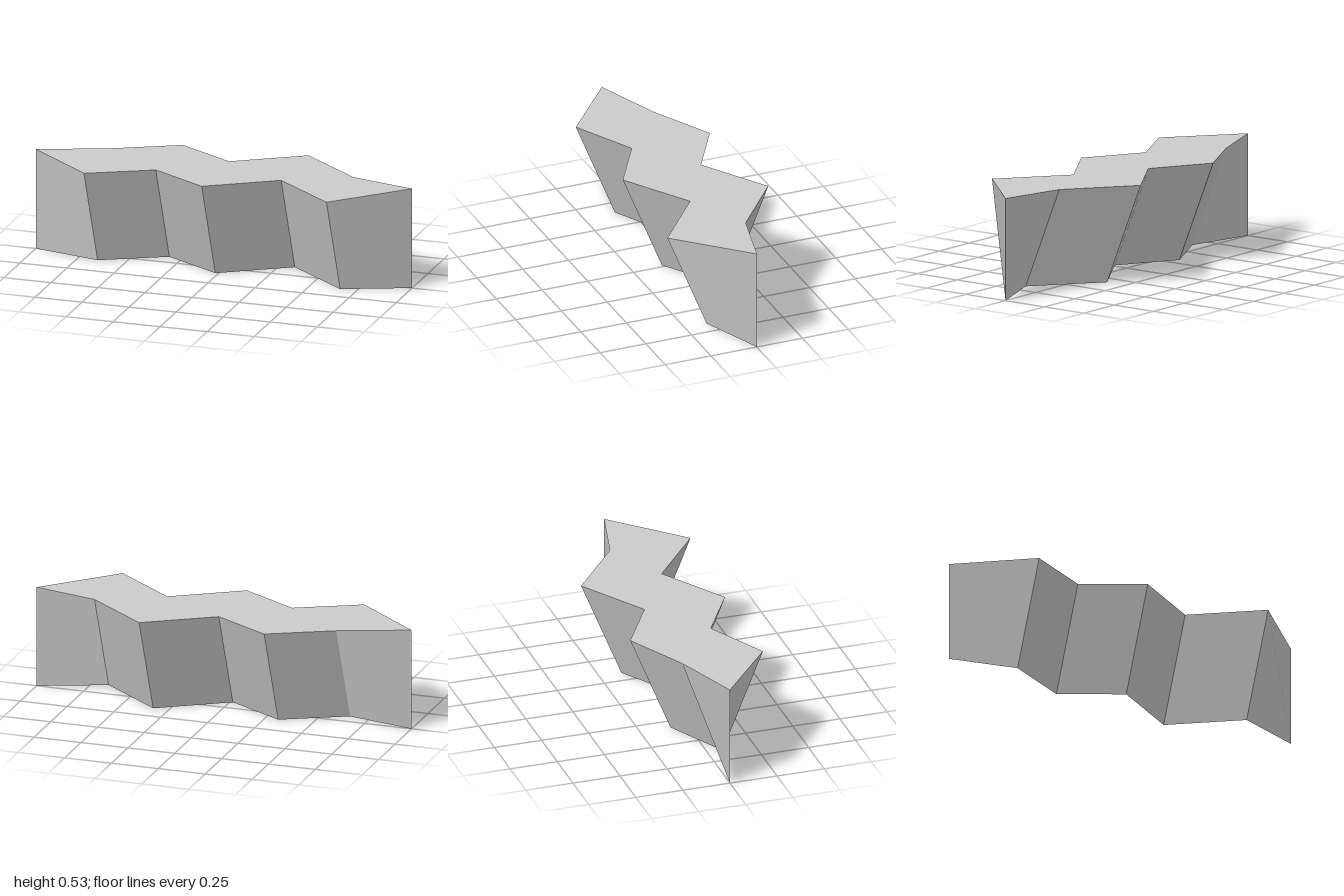
import * as THREE from 'three';

const HEIGHT = 0.526;
const FLARE = 0.214; // half depth of the top at each fold

// Fold columns: x position, z of the bottom keel, flare; both ends close to a vertical edge
const COLUMNS = [
  [-1, 0, 0], [-0.645, 0.079, FLARE], [-0.32, -0.089, FLARE], [-0.016, 0.088, FLARE],
  [0.332, -0.132, FLARE], [0.662, 0.131, FLARE], [1, -0.002, 0],
].map(([x, z, flare]) => ({
  keel: new THREE.Vector3(x, 0, z),
  front: new THREE.Vector3(x, HEIGHT, z + flare),
  back: new THREE.Vector3(x, HEIGHT, z - flare),
}));

// Flat-shaded quads a, b, c, d (counter-clockwise), split along a-c
function quadMesh(name, quads, material) {
  const positions = [], normals = [];
  for (const [a, b, c, d] of quads) {
    const n = c.clone().sub(a).cross(d.clone().sub(b)).normalize();
    for (const p of [a, b, c, a, c, d]) {
      positions.push(p.x, p.y, p.z);
      normals.push(n.x, n.y, n.z);
    }
  }
  const geometry = new THREE.BufferGeometry();
  geometry.setAttribute('position', new THREE.Float32BufferAttribute(positions, 3));
  geometry.setAttribute('normal', new THREE.Float32BufferAttribute(normals, 3));
  const mesh = new THREE.Mesh(geometry, material);
  mesh.name = name;
  return mesh;
}

export function createModel() {
  const group = new THREE.Group();
  group.name = 'foldedWedge';
  const material = new THREE.MeshStandardMaterial({ color: 0xcccccc });

  // Opposite splits on front and back keep the twisted end bays solid
  const frontPanels = [], backPanels = [], topPanels = [];
  for (let i = 0; i < COLUMNS.length - 1; i++) {
    const l = COLUMNS[i], r = COLUMNS[i + 1];
    frontPanels.push([l.front, l.keel, r.keel, r.front]);
    backPanels.push([r.back, r.keel, l.keel, l.back]);
    topPanels.push([l.front, r.front, r.back, l.back]);
  }

  // Pleated sides meeting at the keel, and the flat top
  group.add(
    quadMesh('frontPleats', frontPanels, material),
    quadMesh('backPleats', backPanels, material),
    quadMesh('topFace', topPanels, material),
  );
  return group;
}
